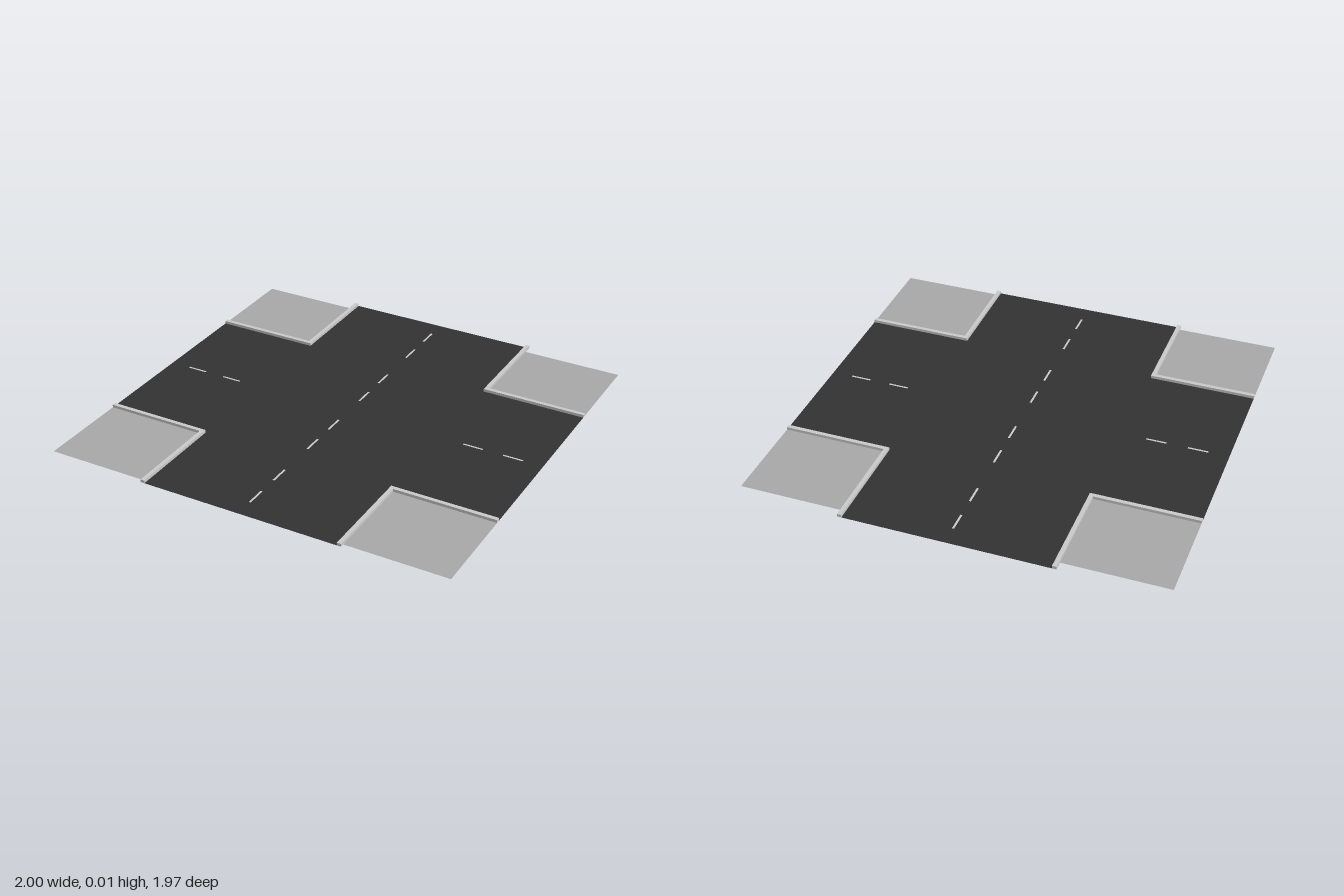
import * as THREE from 'three';

const END_X = 1, END_Z = 0.987;   // outer ends of the roads
const HALF = 0.485;               // half width of each road
const MID_Z = 0.0135;             // centre line of the crossing road
const CURB_W = 0.02, CURB_H = 0.014;
const DASH_L = 0.098, DASH_W = 0.01;

const material = (color) => new THREE.MeshStandardMaterial({ color, side: THREE.DoubleSide });

function rect(Type, x0, x1, z0, z1) {
  // shapes are drawn in x and -z, then laid flat
  return new Type([[x0, -z0], [x0, -z1], [x1, -z1], [x1, -z0]].map((p) => new THREE.Vector2(...p)));
}

export function createModel() {
  const model = new THREE.Group();
  model.name = 'crossroads';
  const asphalt = material(0x333333), paving = material(0xaaaaaa), light = material(0xcccccc);

  function flat(name, shape, mat) {
    const mesh = new THREE.Mesh(new THREE.ShapeGeometry(shape).rotateX(-Math.PI / 2), mat);
    mesh.name = name;
    model.add(mesh);
  }

  // lane dashes along both centre lines
  const dashes = [];
  for (const s of [-1, 1]) {
    for (const c of [0.15, 0.347, 0.643, 0.841]) {
      dashes.push([-DASH_W / 2, DASH_W / 2, s * c - DASH_L / 2, s * c + DASH_L / 2]);
    }
    for (const c of [0.653, 0.852]) {
      dashes.push([s * c - DASH_L / 2, s * c + DASH_L / 2, MID_Z - DASH_W / 2, MID_Z + DASH_W / 2]);
    }
  }

  // cross-shaped road surface with the dashes inlaid flush
  const zBack = MID_Z - HALF, zFront = MID_Z + HALF;
  const road = new THREE.Shape([
    [-HALF, END_Z], [-HALF, -zBack], [-END_X, -zBack], [-END_X, -zFront], [-HALF, -zFront], [-HALF, -END_Z],
    [HALF, -END_Z], [HALF, -zFront], [END_X, -zFront], [END_X, -zBack], [HALF, -zBack], [HALF, END_Z],
  ].map((p) => new THREE.Vector2(...p)));
  for (const d of dashes) {
    road.holes.push(rect(THREE.Path, ...d));
    flat('laneDash', rect(THREE.Shape, ...d), light);
  }
  flat('road', road, asphalt);

  function curb(x0, x1, z0, z1) {
    const mesh = new THREE.Mesh(
      new THREE.BoxGeometry(Math.abs(x1 - x0), CURB_H, Math.abs(z1 - z0)), light);
    mesh.position.set((x0 + x1) / 2, CURB_H / 2, (z0 + z1) / 2);
    mesh.name = 'curb';
    model.add(mesh);
  }

  // paved corner lots, each bordered by an L of curbs
  const outer = HALF + CURB_W;
  for (const sx of [-1, 1]) {
    for (const sz of [-1, 1]) {
      const xs = [sx * outer, sx * END_X].sort((a, b) => a - b);
      const zs = [MID_Z + sz * outer, MID_Z + sz * 0.955].sort((a, b) => a - b);
      flat('cornerLot', rect(THREE.Shape, ...xs, ...zs), paving);
      curb(sx * HALF, sx * END_X, MID_Z + sz * HALF, MID_Z + sz * outer);
      curb(sx * HALF, sx * outer, MID_Z + sz * outer, sz * END_Z);
    }
  }
  return model;
}
